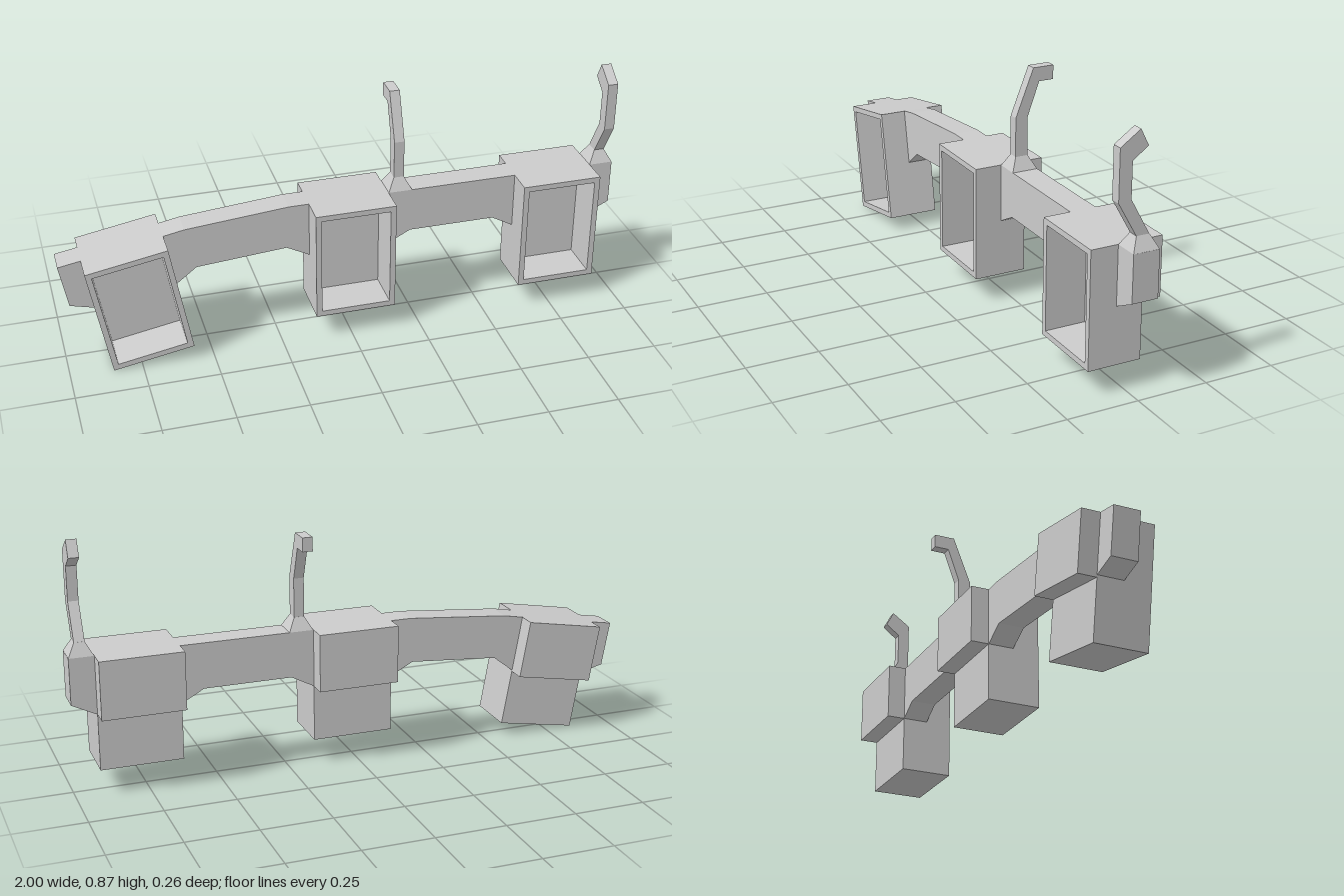
import * as THREE from 'three';

const material = new THREE.MeshStandardMaterial({ color: 0xcccccc, flatShading: true });

const BACK = -0.057, BAR_FRONT = 0.035, FRONT = 0.13; // depth planes
const BOX_W = 0.287, BOX_H = 0.405;

function mesh(name, geometry) {
  const m = new THREE.Mesh(geometry, material);
  m.name = name;
  return m;
}

function polygon(points) {
  return new THREE.Shape(points.map(([a, b]) => new THREE.Vector2(a, b)));
}

function extrude(shape, z0, z1) {
  const g = new THREE.ExtrudeGeometry(shape, { depth: z1 - z0, bevelEnabled: false });
  return g.translate(0, 0, z0);
}

function rect(x0, y0, x1, y1) {
  return [[x0, y0], [x1, y0], [x1, y1], [x0, y1]];
}

// Open-fronted box with a rear block; origin at the centre of its bottom edge
function createHousing(name, x, y, tilt) {
  const g = new THREE.Group();
  g.name = name;
  const w = BOX_W / 2, floor = -0.015, wall = 0.02;
  const frame = polygon(rect(-w, 0, w, BOX_H));
  frame.holes.push(polygon(rect(-w + wall, wall, w - wall, BOX_H - wall).reverse()));
  g.add(mesh('housingWalls', extrude(frame, floor, FRONT)));
  g.add(mesh('housingBack', extrude(polygon(rect(-w, 0, w, BOX_H)), BACK, floor)));
  g.add(mesh('rearBlock', extrude(polygon(rect(-w, 0.2, w, BOX_H)), -0.122, BACK)));
  g.position.set(x, y, 0);
  g.rotation.z = tilt;
  return g;
}

// Tapered foot with a bent arm, profile given as [z, y]
function createHook(name, x, profile) {
  const g = new THREE.Group();
  g.name = name;
  const foot = new THREE.BoxGeometry(0.085, 0.045, BAR_FRONT - BACK);
  const p = foot.attributes.position;
  for (let i = 0; i < p.count; i++) {
    if (p.getY(i) > 0) p.setXYZ(i, p.getX(i) * 0.42, p.getY(i), p.getZ(i) * 0.49);
  }
  foot.computeVertexNormals();
  foot.translate(0, 0.5175, (BAR_FRONT + BACK) / 2);
  g.add(mesh('hookFoot', foot));
  const arm = extrude(polygon(profile), -0.018, 0.018).rotateY(-Math.PI / 2);
  g.add(mesh('hookArm', arm));
  g.position.x = x;
  return g;
}

export function createModel() {
  const model = new THREE.Group();
  model.name = 'housingRail';

  // Three housings, the last one tilted
  model.add(createHousing('leftHousing', 0.771, 0.09, 0));
  model.add(createHousing('middleHousing', 0.015, 0.09, 0));
  model.add(createHousing('rightHousing', -0.709, 0.025, THREE.MathUtils.degToRad(10)));

  // Rail pieces between and beyond the housings
  const rails = {
    leftEndRail: [[0.914, 0.495], [0.914, 0.29], [1, 0.333], [1, 0.495]],
    straightRail: [[0.158, 0.495], [0.158, 0.29], [0.24, 0.333], [0.55, 0.333], [0.628, 0.29], [0.628, 0.495]],
    bentRail: [[-0.128, 0.495], [-0.2, 0.495], [-0.565, 0.463], [-0.639, 0.449],
      [-0.604, 0.25], [-0.53, 0.308], [-0.21, 0.333], [-0.128, 0.29]],
    rightEndRail: [[-0.92, 0.399], [-1, 0.385], [-0.972, 0.228], [-0.886, 0.205]],
  };
  for (const [name, points] of Object.entries(rails)) {
    model.add(mesh(name, extrude(polygon(points), BACK, BAR_FRONT)));
  }

  // Two differently bent hooks on top
  model.add(createHook('middleHook', 0.202, [[0.012, 0.54], [0.012, 0.677], [-0.053, 0.843],
    [-0.128, 0.843], [-0.128, 0.794], [-0.075, 0.794], [-0.033, 0.677], [-0.033, 0.54]]));
  model.add(createHook('leftHook', 0.957, [[0.012, 0.54], [0.077, 0.655], [0.077, 0.827],
    [0.008, 0.875], [-0.02, 0.82], [0.033, 0.78], [0.033, 0.66], [-0.033, 0.54]]));

  return model;
}
